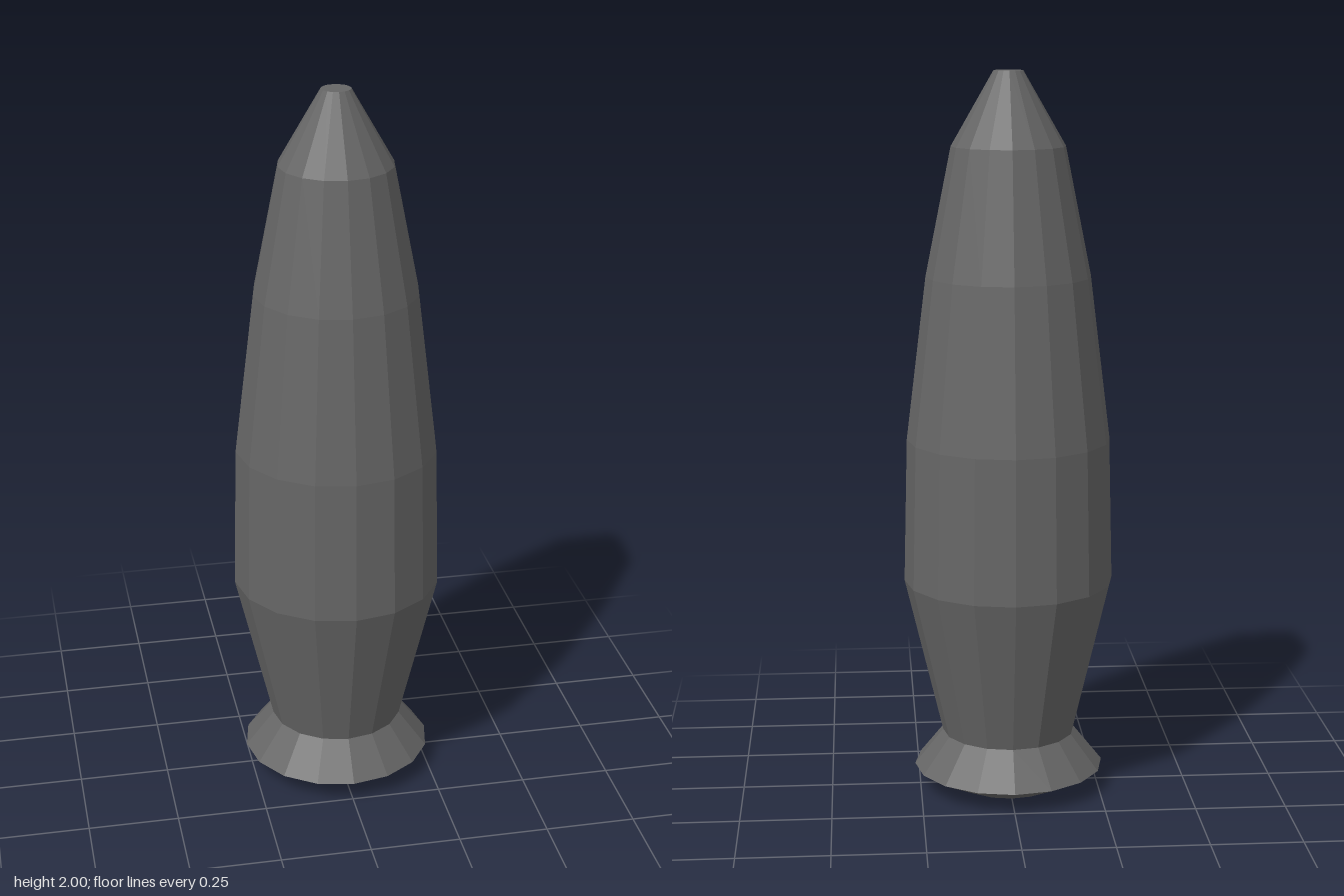
import * as THREE from 'three';

const SIDES = 16;

export function createModel() {
  const model = new THREE.Group();
  const material = new THREE.MeshStandardMaterial({ color: 0x666666, flatShading: true });

  // Turns a [radius, height] profile, listed bottom to top, into a faceted solid
  const turned = (name, profile) => {
    const points = profile.map(([r, y]) => new THREE.Vector2(r, y));
    const mesh = new THREE.Mesh(new THREE.LatheGeometry(points, SIDES), material);
    mesh.name = name;
    model.add(mesh);
  };

  // Flared foot with a bevelled underside
  turned('base', [[0, 0], [0.14, 0], [0.265, 0.06], [0.185, 0.16]]);

  // Tapered body ending in a blunt tip
  turned('body', [
    [0.185, 0.16], [0.29, 0.6], [0.28, 1.0], [0.225, 1.45],
    [0.155, 1.8], [0.04, 2], [0, 2],
  ]);

  return model;
}
